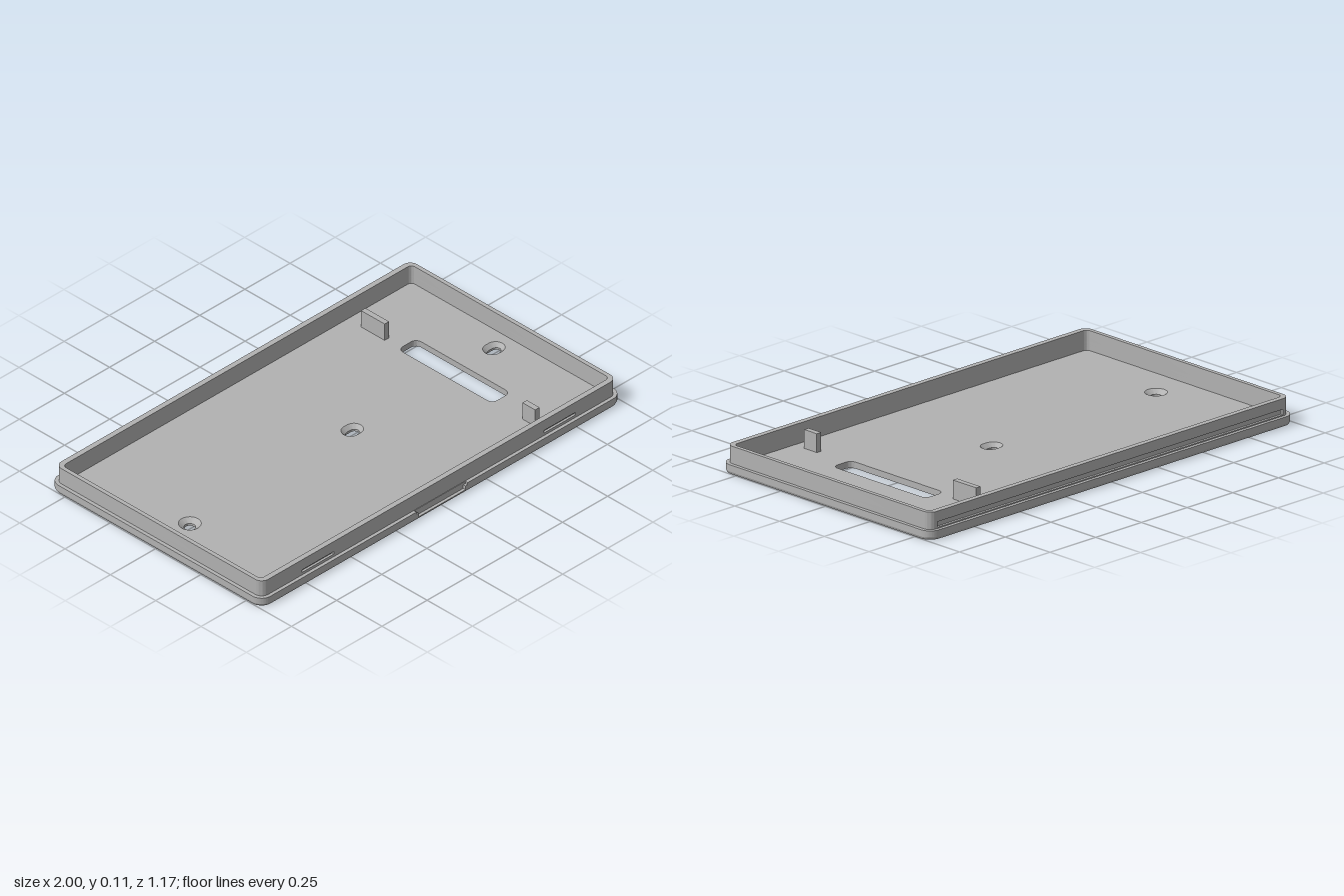
import * as THREE from 'three';
import { toCreasedNormals } from 'three/addons/utils/BufferGeometryUtils.js';

// Rounded rectangle; notches are [x0, x1, depth] cut into the front or back edge
function outline(target, cx, hx, hy, r, front = [], back = []) {
  const p = target, l = cx - hx, R = cx + hx;
  p.moveTo(l + r, -hy);
  for (const [a, b, d] of front) {
    p.lineTo(a, -hy); p.lineTo(a, -hy + d); p.lineTo(b, -hy + d); p.lineTo(b, -hy);
  }
  p.lineTo(R - r, -hy);
  p.absarc(R - r, -hy + r, r, -Math.PI / 2, 0);
  p.lineTo(R, hy - r);
  p.absarc(R - r, hy - r, r, 0, Math.PI / 2);
  for (const [a, b, d] of back) {
    p.lineTo(b, hy); p.lineTo(b, hy - d); p.lineTo(a, hy - d); p.lineTo(a, hy);
  }
  p.lineTo(l + r, hy);
  p.absarc(l + r, hy - r, r, Math.PI / 2, Math.PI);
  p.lineTo(l, -hy + r);
  p.absarc(l + r, -hy + r, r, Math.PI, Math.PI * 1.5);
  return p;
}

const rectShape = (...args) => outline(new THREE.Shape(), ...args);
const rectHole = (...args) => outline(new THREE.Path(), ...args);

// Screw holes: centre x, top half sizes, through half sizes
const SCREWS = [
  { x: -0.81, top: [0.045, 0.045], thru: [0.023, 0.023] },
  { x: 0.09, top: [0.047, 0.038], thru: [0.032, 0.02] },
  { x: 0.875, top: [0.047, 0.038], thru: [0.032, 0.02] },
];

export function createModel() {
  const group = new THREE.Group();
  const plastic = new THREE.MeshStandardMaterial({ color: 0xb2b2b2 });
  plastic.name = 'grey plastic';

  // Horizontal layer between two heights, with an optional vertex rule
  function layer(name, shape, holes, y0, y1, rule) {
    shape.holes.push(...holes);
    let geo = new THREE.ExtrudeGeometry(shape, { depth: y1 - y0, bevelEnabled: false, curveSegments: 8 });
    geo.rotateX(-Math.PI / 2).translate(0, y0, 0);
    if (rule) {
      const pos = geo.attributes.position, v = new THREE.Vector3();
      for (let i = 0; i < pos.count; i++) {
        v.fromBufferAttribute(pos, i);
        if (v.y < y0 + 1e-4) rule(v);
        pos.setXYZ(i, v.x, v.y, v.z);
      }
    }
    geo = toCreasedNormals(geo, 0.5);
    const mesh = new THREE.Mesh(geo, plastic);
    mesh.name = name;
    group.add(mesh);
  }

  const HX = 1, HZ = 0.585, WX = 0.984, WZ = 0.57;
  const cableSlot = () => rectHole(0.655, 0.05, 0.26, 0.028);
  const interior = () => rectHole(0, 0.966, 0.546, 0.02);
  const screwHoles = (key) => SCREWS.map((s) => rectHole(s.x, ...s[key], Math.min(...s[key]) - 1e-4));

  // Base plate with a slightly chamfered lower edge
  layer('basePlate', rectShape(0, HX, HZ, 0.05), [cableSlot(), ...screwHoles('thru')], 0, 0.01, (v) => {
    if (Math.abs(v.x) > 0.94 || Math.abs(v.z) > 0.53) { v.x *= 0.996; v.z *= 0.993; }
  });

  // Floor, its screw holes tapering down into countersinks
  layer('floor', rectShape(0, HX, HZ, 0.05, [[-0.13, 0.13, 0.013]]),
    [cableSlot(), ...screwHoles('top')], 0.01, 0.027, (v) => {
      for (const s of SCREWS) {
        if (Math.hypot(v.x - s.x, v.z) < 0.06) {
          v.x = s.x + (v.x - s.x) * s.thru[0] / s.top[0];
          v.z *= s.thru[1] / s.top[1];
          break;
        }
      }
    });

  // Flange rim with the finger notch at the front
  layer('flange', rectShape(0, HX, HZ, 0.05, [[-0.142, 0.142, 0.013]]), [interior()], 0.027, 0.038);

  // Wall in layers: latch slots at the front, a long groove at the back
  const latches = [[-0.76, -0.585, 0.01], [0.58, 0.755, 0.01]];
  const groove = [[-0.945, 0.945, 0.011]];
  const wall = [
    [0.038, 0.043, [], []],
    [0.043, 0.05, [], groove],
    [0.05, 0.062, latches, groove],
    [0.062, 0.066, [], groove],
    [0.066, 0.11, [], []],
  ];
  for (const [y0, y1, front, back] of wall) {
    layer('wall', rectShape(0, WX, WZ, 0.036, front, back), [interior()], y0, y1);
  }

  // Upright tabs beside the cable slot
  for (const [z0, z1] of [[-0.47, -0.34], [0.42, 0.49]]) {
    const tab = new THREE.Mesh(new THREE.BoxGeometry(0.024, 0.08, z1 - z0), plastic);
    tab.position.set(0.623, 0.065, (z0 + z1) / 2);
    tab.name = 'tab';
    group.add(tab);
  }
  return group;
}
